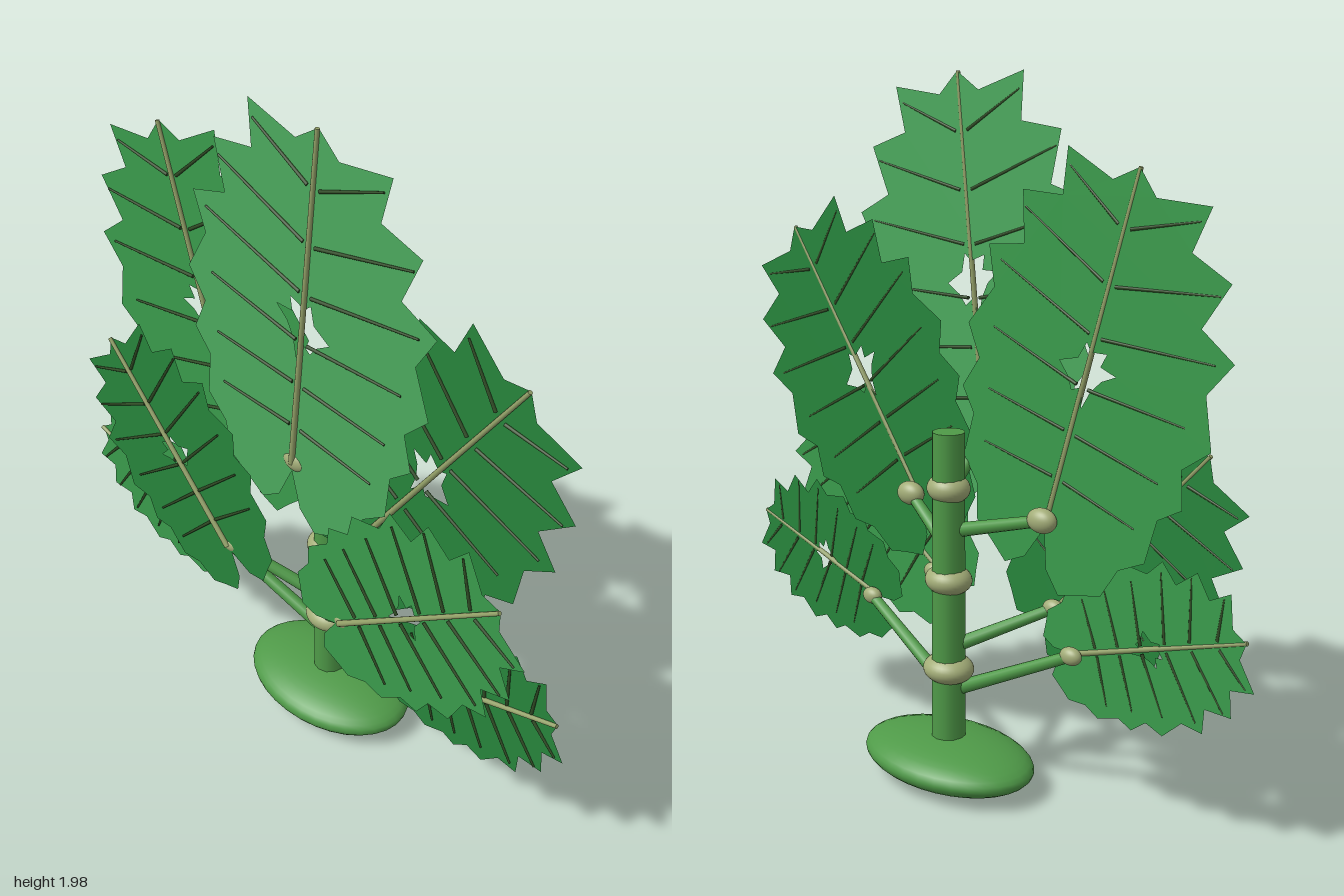
import * as THREE from 'three';

const mat = (color, side = THREE.FrontSide) => new THREE.MeshStandardMaterial({ color, side });
const stemMat = mat(0x4f9a48);
const nodeMat = mat(0xa3ad78);
const ribMat = mat(0x93a068);
const veinMat = mat(0x2f4a24);
const V = (x, y, z) => new THREE.Vector3(x, y, z);

function add(parent, name, geometry, material) {
  const mesh = new THREE.Mesh(geometry, material);
  mesh.name = name;
  parent.add(mesh);
  return mesh;
}

function ellipsoid(parent, name, material, pos, size) {
  const m = add(parent, name, new THREE.SphereGeometry(1, 32, 20), material);
  m.position.copy(pos);
  m.scale.set(...size);
  return m;
}

// Straight rod between two points
function rod(parent, name, material, a, b, r0, r1 = r0) {
  const m = add(parent, name, new THREE.CylinderGeometry(r1, r0, a.distanceTo(b), 12), material);
  m.position.copy(a).lerp(b, 0.5);
  m.quaternion.setFromUnitVectors(V(0, 1, 0), b.clone().sub(a).normalize());
  return m;
}

// Half outline of a toothed leaf: base at the origin, tip at (0, 1)
const half = [
  [0.07, 0.945], [0.23, 0.98], [0.21, 0.855], [0.34, 0.825], [0.295, 0.69],
  [0.41, 0.645], [0.36, 0.54], [0.42, 0.41], [0.355, 0.33], [0.39, 0.23],
  [0.33, 0.17], [0.33, 0.04], [0.26, -0.02], [0.23, -0.12], [0.17, -0.15],
  [0.1, -0.19], [0.04, -0.14],
];
// Ragged opening in the middle of the blade
const opening = [
  [-0.094, 0.47], [-0.04, 0.475], [-0.05, 0.515], [0.0, 0.5], [0.02, 0.52],
  [0.035, 0.47], [0.09, 0.44], [0.05, 0.41], [0.03, 0.38], [0.0, 0.4],
  [-0.015, 0.345], [-0.03, 0.4], [-0.055, 0.44],
];
// Side veins: start height, end offset, end height
const veins = [
  [0.845, 0.21, 0.935], [0.69, 0.32, 0.785], [0.545, 0.36, 0.62],
  [0.4, 0.33, 0.435], [0.265, 0.3, 0.262], [0.125, 0.27, 0.112],
];

function leaf(name, base, tip, z, color, width) {
  const g = new THREE.Group();
  g.name = name;
  const dx = tip[0] - base[0], dy = tip[1] - base[1];
  const L = Math.hypot(dx, dy);
  g.position.set(base[0], base[1], z);
  g.rotation.z = Math.atan2(-dx, dy);

  const at = (s, t) => new THREE.Vector2(s * L * width, t * L);
  const outline = [
    at(0, 1),
    ...half.map(([s, t]) => at(s, t)),
    at(0, -0.03),
    ...half.map(([s, t]) => at(-s, t)).reverse(),
  ];
  const shape = new THREE.Shape(outline.reverse());
  shape.holes.push(new THREE.Path(opening.map(([s, t]) => at(s, t))));
  add(g, 'blade', new THREE.ShapeGeometry(shape), mat(color, THREE.DoubleSide));

  // Midrib and side veins lie on the front of the blade
  rod(g, 'midrib', ribMat, V(0, 0, 0.004), V(0, L, 0.004), 0.009, 0.006);
  for (const side of [-1, 1]) {
    for (const [t0, s, t1] of veins) {
      rod(g, 'sideVein', veinMat, V(side * 0.02 * L, t0 * L, 0.002),
        V(side * s * L * width, t1 * L, 0.002), 0.005, 0.003);
    }
  }
  return g;
}

export function createModel() {
  const plant = new THREE.Group();
  plant.name = 'leafyPlant';

  // Base and main stem
  ellipsoid(plant, 'base', stemMat, V(0, 0.072, 0), [0.28, 0.068, 0.19]);
  rod(plant, 'stem', stemMat, V(0, 0.08, 0), V(0, 1.03, 0), 0.05, 0.046);
  [[0.34, 0.076], [0.605, 0.07], [0.87, 0.064]].forEach(([y, r]) =>
    ellipsoid(plant, 'stemNode', nodeMat, V(0, y, 0), [r, 0.043, r * 0.9]));

  const light = 0x4caa5e, mid = 0x3a9c4c, dark = 0x27853c;
  // Name, stalk start height, joint [x, y, z], tip, blade z, color, width
  const leaves = [
    ['topLeaf', 0.87, [-0.01, 0.975, 0.115], [0.095, 1.985], 0.135, light, 1],
    ['upperRightLeaf', 0.745, [-0.3, 0.83, 0.04], [-0.57, 1.765], 0.06, mid, 1],
    ['upperLeftLeaf', 0.68, [0.2, 0.805, 0.055], [0.705, 1.53], 0.08, dark, 1],
    ['middleRightLeaf', 0.4, [-0.26, 0.545, 0.145], [-0.735, 1.06], 0.162, dark, 1.1],
    ['middleLeftLeaf', 0.34, [0.2, 0.545, 0.15], [0.74, 0.94], 0.168, mid, 1.08],
    ['lowerRightLeaf', 0.27, [-0.375, 0.455, 0.08], [-0.9, 0.625], 0.105, mid, 1],
    ['lowerLeftLeaf', 0.265, [0.39, 0.44, 0.08], [0.895, 0.605], 0.096, dark, 1],
  ];
  for (const [name, y0, joint, tip, z, color, width] of leaves) {
    const end = V(...joint);
    rod(plant, 'leafStalk', stemMat, V(0, y0, 0.01), end, 0.021, 0.016);
    const r = name === 'topLeaf' || name.startsWith('upper') ? 0.046 : 0.034;
    ellipsoid(plant, 'leafJoint', nodeMat, end, [r, r * 0.75, r * 0.65]);
    plant.add(leaf(name, joint, tip, z, color, width));
  }
  return plant;
}
